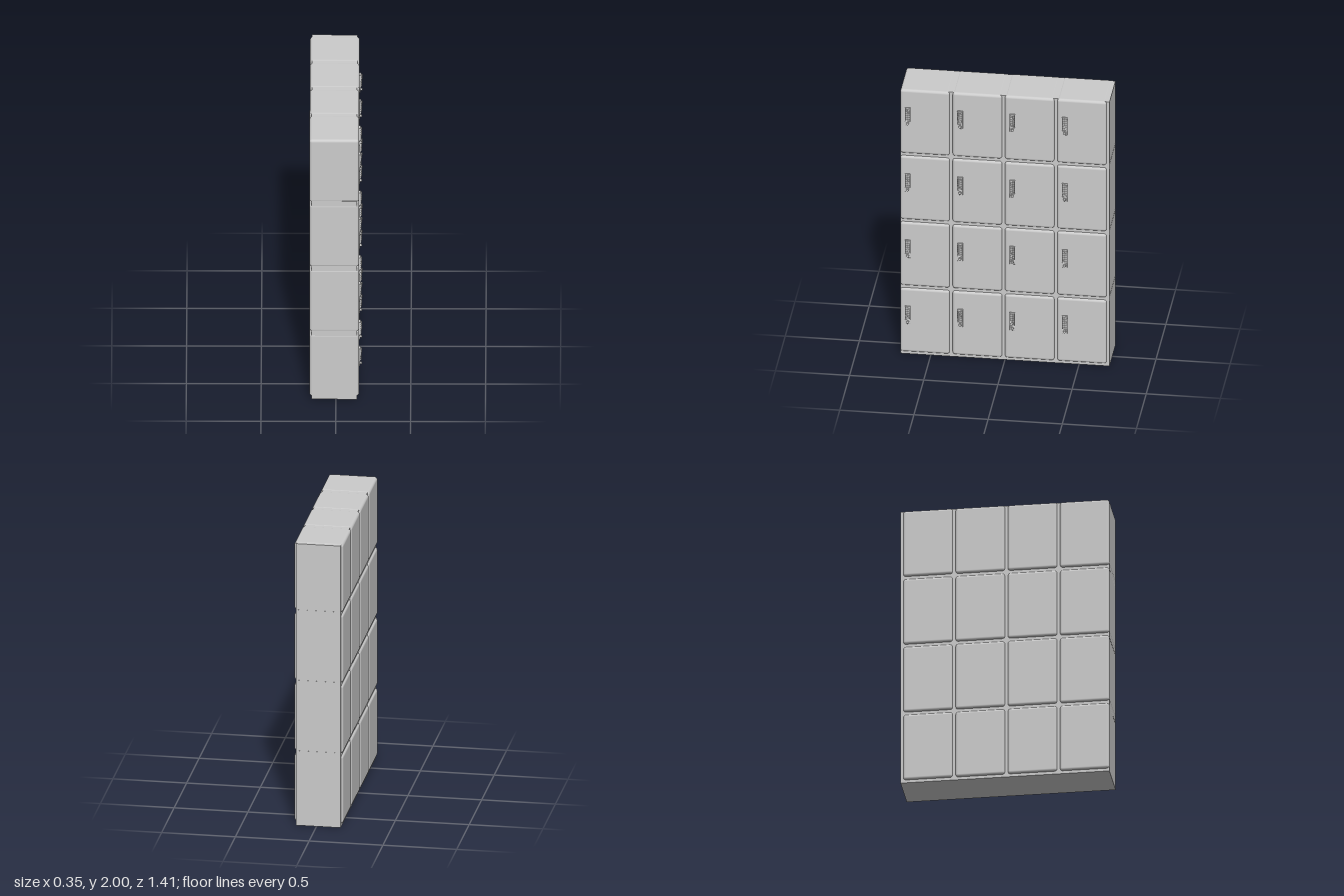
import * as THREE from 'three';
import { RoundedBoxGeometry } from 'three/addons/geometries/RoundedBoxGeometry.js';

const ROWS = 4, COLS = 4;
const PITCH_Y = 0.5, PITCH_Z = 0.3525;
const BODY = { x: 0.33, y: 0.48, z: 0.333 };
const BODY_X = -0.011, FACE_X = 0.154, HALF_Z = 0.705;

const grey = new THREE.MeshStandardMaterial({ color: 0xcccccc });

function add(parent, name, geometry, x, y, z) {
  const mesh = new THREE.Mesh(geometry, grey);
  mesh.name = name;
  mesh.position.set(x, y, z);
  parent.add(mesh);
  return mesh;
}

// Lock housing: wedge profile in x/y, thicker at the top, extruded across z
function housingGeometry() {
  const s = new THREE.Shape();
  s.moveTo(-0.002, -0.030);
  s.lineTo(0.011, -0.030);
  s.lineTo(0.013, 0.060);
  s.lineTo(0.010, 0.066);
  s.lineTo(-0.002, 0.066);
  s.closePath();
  const g = new THREE.ExtrudeGeometry(s, { depth: 0.037, bevelEnabled: false });
  return g.translate(0, 0, -0.0185);
}

const geo = {
  body: new RoundedBoxGeometry(BODY.x, BODY.y, BODY.z, 4, 0.018),
  housing: housingGeometry(),
  key: new RoundedBoxGeometry(0.010, 0.008, 0.0075, 1, 0.0015),
  knobPlate: new RoundedBoxGeometry(0.008, 0.034, 0.037, 2, 0.003),
  knob: new THREE.CylinderGeometry(0.009, 0.010, 0.016, 20).rotateZ(-Math.PI / 2),
  grip: new THREE.BoxGeometry(0.005, 0.016, 0.004),
};

// Keypad lock with a turning knob below the keys
function makeLock() {
  const lock = new THREE.Group();
  lock.name = 'keypadLock';
  add(lock, 'lockHousing', geo.housing, 0, 0, 0);
  for (let r = 0; r < 6; r++) {
    for (let c = -1; c <= 1; c++) {
      add(lock, 'key', geo.key, 0.0115 + r * 0.0007, -0.019 + r * 0.0148, c * 0.0105);
    }
  }
  add(lock, 'knobPlate', geo.knobPlate, 0.002, -0.051, 0);
  add(lock, 'knob', geo.knob, 0.008, -0.051, 0);
  add(lock, 'knobGrip', geo.grip, 0.0165, -0.051, 0);
  return lock;
}

export function createModel() {
  const model = new THREE.Group();
  model.name = 'lockerWall';

  // Inset frame panels seen in the gaps between lockers
  const frameX = -0.0115, frameW = 0.303;
  const shelf = new THREE.BoxGeometry(frameW, 0.04, HALF_Z * 2);
  const base = new THREE.BoxGeometry(frameW, 0.038, HALF_Z * 2);
  const wall = new THREE.BoxGeometry(frameW, 1.998, 0.06);
  const endWall = new THREE.BoxGeometry(frameW, 1.998, 0.038);
  add(model, 'basePanel', base, frameX, 0.019, 0);
  for (let r = 1; r < ROWS; r++) {
    // shelves stop just short of the outermost locker face
    add(model, 'shelfPanel', shelf, frameX, r * PITCH_Y + 0.01, -0.001);
  }
  add(model, 'endPanel', endWall, frameX, 0.999, -HALF_Z + 0.019);
  for (let c = 1; c < COLS; c++) {
    add(model, 'dividerPanel', wall, frameX, 0.999, HALF_Z - c * PITCH_Z + 0.01);
  }

  // Lockers, each a rounded body with a lock near one edge of its door
  for (let r = 0; r < ROWS; r++) {
    for (let c = 0; c < COLS; c++) {
      const locker = new THREE.Group();
      locker.name = 'locker';
      const z = HALF_Z - BODY.z / 2 - c * PITCH_Z;
      locker.position.set(0, r * PITCH_Y + 0.02 + BODY.y / 2, z);
      add(locker, 'lockerBody', geo.body, BODY_X, 0, 0);
      const lock = makeLock();
      lock.position.set(FACE_X, 0.043, 0.114);
      locker.add(lock);
      model.add(locker);
    }
  }
  return model;
}
